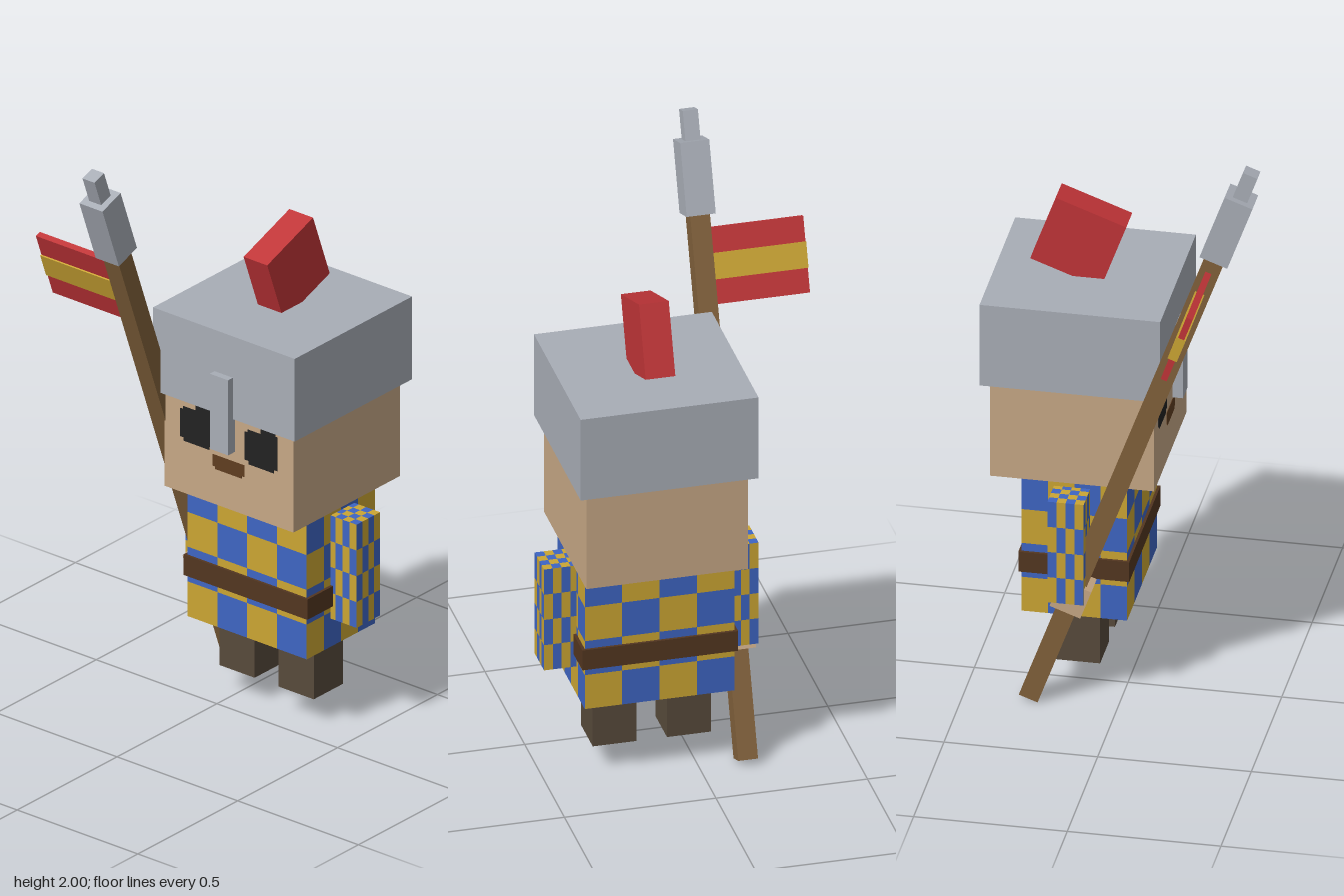
import * as THREE from 'three';

const mat = (name, color) => {
  const m = new THREE.MeshStandardMaterial({ color });
  m.name = name;
  return m;
};

export function createModel() {
  const steel = mat('steel', 0xa8adb6);
  const skin = mat('skin', 0xc6a785);
  const blue = mat('blue cloth', 0x3e65c2);
  const yellow = mat('yellow cloth', 0xcba533);
  const red = mat('red cloth', 0xc03437);
  const wood = mat('wood', 0x80603a);
  const boots = mat('dark trousers', 0x574a3b);
  const leather = mat('leather', 0x533620);
  const black = mat('black', 0x222222);
  const lips = mat('lips', 0x5f3d20);

  const model = new THREE.Group();
  model.name = 'guard';
  const CX = 0.14; // body axis, offset by the flag on one side

  // Box given by its extents on each axis
  function box(name, material, [x0, x1], [y0, y1], [z0, z1], parent = model, n = 1) {
    const geo = new THREE.BoxGeometry(x1 - x0, y1 - y0, z1 - z0, n, n, n);
    const mesh = new THREE.Mesh(geo, material);
    mesh.name = name;
    mesh.position.set((x0 + x1) / 2, (y0 + y1) / 2, (z0 + z1) / 2);
    parent.add(mesh);
    return mesh;
  }

  // Box with a 4 x 4 chequer on every side
  function chequered(name, x, y, z) {
    const mesh = box(name, [blue, yellow], x, y, z, model, 4);
    mesh.geometry.clearGroups();
    for (let cell = 0; cell < 96; cell++) {
      const col = cell % 4, row = Math.floor(cell / 4) % 4;
      mesh.geometry.addGroup(cell * 6, 6, (col + row) % 2);
    }
  }

  // Flat stepped outline on the face
  function facePlate(name, material, points) {
    const shape = new THREE.Shape(points.map(([x, y]) => new THREE.Vector2(x, y)));
    const geo = new THREE.ExtrudeGeometry(shape, { depth: 0.003, bevelEnabled: false });
    const mesh = new THREE.Mesh(geo, material);
    mesh.name = name;
    mesh.position.z = 0.109;
    model.add(mesh);
  }

  // Legs
  box('rightLeg', boots, [-0.055, 0.09], [0.09, 0.3], [-0.227, -0.08]);
  box('leftLeg', boots, [0.19, 0.335], [0.09, 0.3], [-0.227, -0.08]);

  // Tunic, sleeves and belt
  chequered('tunic', [-0.107, 0.387], [0.285, 0.779], [-0.325, 0.018]);
  chequered('leftArm', [0.377, 0.494], [0.385, 0.752], [-0.22, -0.102]);
  chequered('rightArm', [-0.214, -0.097], [0.385, 0.752], [-0.22, -0.102]);
  box('belt', leather, [-0.117, 0.397], [0.432, 0.504], [-0.334, 0.027]);

  // Head and helmet
  box('head', skin, [-0.126, 0.408], [0.777, 1.3], [-0.424, 0.11]);
  box('helmet', steel, [-0.153, 0.434], [1.118, 1.412], [-0.453, 0.135]);
  box('noseGuard', steel, [CX - 0.038, CX + 0.038], [0.998, 1.265], [0.125, 0.159]);

  // Crest block, tilted
  const crest = box('crest', red, [0.091, 0.189], [1.413, 1.657], [-0.302, -0.058]);
  crest.rotation.x = THREE.MathUtils.degToRad(20);

  // Eyes and mouth
  [['rightEye', -0.06], ['leftEye', 0.208]].forEach(([name, x]) => facePlate(name, black, [
    [x + 0.015, 0.963], [x + 0.12, 0.963], [x + 0.12, 0.975], [x + 0.134, 0.975],
    [x + 0.134, 1.095], [x + 0.125, 1.095], [x + 0.125, 1.115], [x + 0.065, 1.115],
    [x + 0.065, 1.085], [x + 0.012, 1.085], [x + 0.012, 1.075], [x, 1.075],
    [x, 0.975], [x + 0.015, 0.975],
  ]));
  facePlate('mouth', lips, [
    [CX - 0.055, 0.903], [CX + 0.055, 0.903], [CX + 0.055, 0.912], [CX + 0.066, 0.912],
    [CX + 0.066, 0.953], [CX - 0.066, 0.953], [CX - 0.066, 0.912], [CX - 0.055, 0.912],
  ]);

  // Spear with hand and flag, built upright and leaning forward
  const spear = new THREE.Group();
  spear.name = 'spear';
  spear.position.set(-0.154, 0.011, -0.288);
  spear.rotation.x = THREE.MathUtils.degToRad(20);
  model.add(spear);
  const square = (name, material, half, y) =>
    box(name, material, [-half, half], y, [-half, half], spear);
  square('shaft', wood, 0.0325, [0, 1.78]);
  square('spearHead', steel, 0.048, [1.77, 2.01]);
  square('spearTip', steel, 0.025, [2.0, 2.108]);
  square('rightHand', skin, 0.053, [0.361, 0.467]);
  box('flag', red, [-0.341, 0], [1.472, 1.72], [-0.0125, 0.0085], spear);
  box('flagStripe', yellow, [-0.342, 0], [1.553, 1.638], [-0.018, 0.014], spear);

  return model;
}
